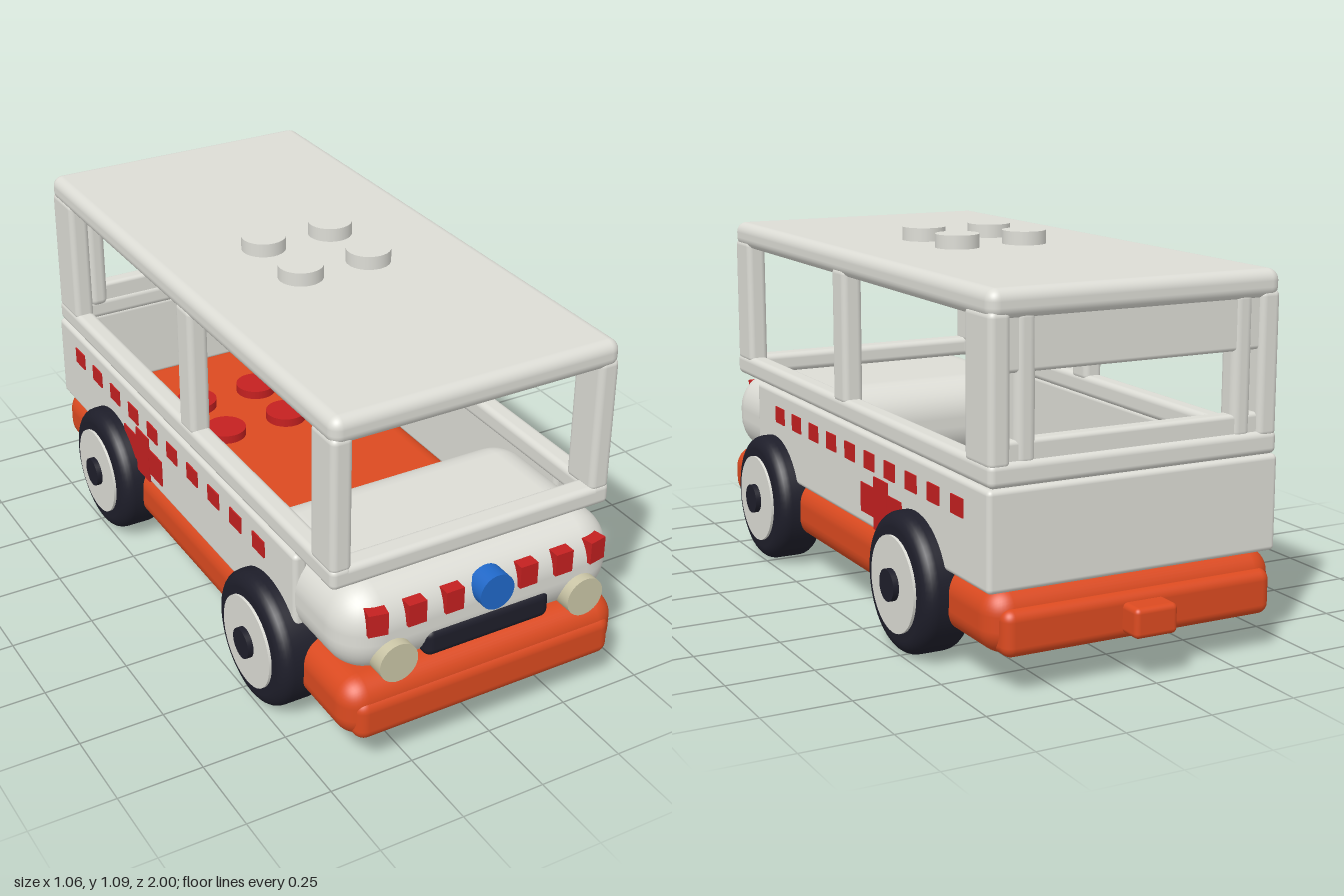
import * as THREE from 'three';
import { RoundedBoxGeometry } from 'three/addons/geometries/RoundedBoxGeometry.js';

const mat = (name, color) => {
  const m = new THREE.MeshStandardMaterial({ color });
  m.name = name;
  return m;
};

export function createModel() {
  const white = mat('white', 0xdcdcd5);
  const orange = mat('orange', 0xdb4a20);
  const black = mat('black', 0x1e1e2a);
  const red = mat('red', 0xc42020);
  const blue = mat('blue', 0x2068c8);
  const cream = mat('cream', 0xcac5a6);

  const model = new THREE.Group();
  model.name = 'rescueVan';

  const add = (name, geometry, material, x = 0, y = 0, z = 0, parent = model) => {
    const mesh = new THREE.Mesh(geometry, material);
    mesh.name = name;
    mesh.position.set(x, y, z);
    parent.add(mesh);
    return mesh;
  };
  // Box given by its extents; a radius rounds its edges
  const block = (name, material, [x0, x1], [y0, y1], [z0, z1], r = 0) => {
    const w = x1 - x0, h = y1 - y0, d = z1 - z0;
    const g = r ? new RoundedBoxGeometry(w, h, d, 5, r) : new THREE.BoxGeometry(w, h, d);
    return add(name, g, material, (x0 + x1) / 2, (y0 + y1) / 2, (z0 + z1) / 2);
  };
  // Pair of boxes mirrored in x
  const pair = (name, material, [x0, x1], ys, zs, r) => {
    block(name + 'Left', material, [x0, x1], ys, zs, r);
    block(name + 'Right', material, [-x1, -x0], ys, zs, r);
  };
  // Disc facing the front
  const disc = (name, material, x, y, z0, z1, r) => {
    const g = new THREE.CylinderGeometry(r, r, z1 - z0, 40).rotateX(Math.PI / 2);
    add(name, g, material, x, y, (z0 + z1) / 2);
  };

  // Chassis, bumpers and tow hitch
  block('chassis', orange, [-0.44, 0.44], [0.1, 0.28], [-0.912, 0.978], 0.07);
  block('frontBumper', orange, [-0.41, 0.41], [0.105, 0.232], [0.88, 0.987], 0.035);
  block('rearBumper', orange, [-0.41, 0.41], [0.105, 0.232], [-0.934, -0.83], 0.03);
  block('towHitch', orange, [-0.065, 0.065], [0.125, 0.208], [-1, -0.9], 0.015);

  // Lower body shell, open at the top, and the rounded nose
  pair('sideWall', white, [0.4, 0.442], [0.272, 0.542], [-0.9, 0.7], 0.014);
  block('rearWall', white, [-0.44, 0.44], [0.272, 0.542], [-0.9, -0.855], 0.014);
  block('nose', white, [-0.438, 0.438], [0.272, 0.542], [0.4, 0.967], 0.12);

  // Window frame: sill rails, pillars and tail frame
  pair('sideRail', white, [0.375, 0.438], [0.543, 0.608], [-0.9, 0.89], 0.018);
  block('frontRail', white, [-0.438, 0.438], [0.543, 0.605], [0.82, 0.89], 0.018);
  block('rearRail', white, [-0.438, 0.438], [0.543, 0.608], [-0.9, -0.83], 0.018);
  for (const [name, z0, z1] of [['frontPillar', 0.77, 0.888], ['middlePillar', 0, 0.088], ['rearPillar', -0.898, -0.755]]) {
    pair(name, white, [0.375, 0.437], [0.59, 0.99], [z0, z1], 0.018);
  }
  pair('tailPost', white, [0.297, 0.357], [0.59, 0.99], [-0.89, -0.82], 0.022);
  block('tailSill', white, [-0.4, 0.4], [0.59, 0.66], [-0.885, -0.835], 0.012);
  block('tailHeader', white, [-0.4, 0.4], [0.83, 0.99], [-0.885, -0.835], 0.012);

  // Roof
  block('roof', white, [-0.438, 0.438], [0.965, 1.045], [-0.9, 0.89], 0.032);

  // Studs on the roof and on the cabin floor
  const stud = new THREE.CylinderGeometry(0.065, 0.065, 0.05, 32);
  for (const x of [-0.11, 0.11]) {
    for (const z of [-0.08, 0.14]) add('roofStud', stud, white, x, 1.06, z);
    for (const z of [-0.57, -0.36]) add('floorStud', stud, red, x, 0.282, z);
  }

  // Front details: grille, lamps, badge disc and check blocks
  block('grille', black, [-0.198, 0.198], [0.298, 0.384], [0.88, 0.974], 0.025);
  disc('badgeDisc', blue, 0, 0.464, 0.94, 1, 0.053);
  for (const s of [-1, 1]) {
    disc('headlight', cream, s * 0.297, 0.342, 0.9, 0.996, 0.058);
    for (const x of [0.117, 0.232, 0.342]) {
      const check = block('frontCheck', red, [-0.0275, 0.0275], [0.43, 0.497], [0.925, 0.978]);
      check.position.x = s * x;
      if (x > 0.3) {
        check.rotation.y = s * 0.2;
        check.position.z -= 0.005;
      }
    }
  }

  // Side check stripe and plus-shaped marking
  for (let i = 0; i < 10; i++) {
    const z = 0.5 - i * 0.1367;
    pair('sideCheck', red, [0.438, 0.446], [0.442, 0.493], [z - 0.034, z + 0.034]);
  }
  pair('plusUpright', red, [0.438, 0.446], [0.277, 0.43], [-0.305, -0.215]);
  pair('plusBar', red, [0.438, 0.4455], [0.31, 0.396], [-0.395, -0.125]);

  // Wheels: rounded tyre, pale rim disc and dark axle cap
  const R = 0.197, W = 0.15, c = 0.04;
  const profile = [new THREE.Vector2(0, 0)];
  for (const [y, start] of [[c, -90], [W - c, 0]]) {
    for (let i = 0; i <= 6; i++) {
      const a = THREE.MathUtils.degToRad(start + i * 15);
      profile.push(new THREE.Vector2(R - c + c * Math.cos(a), y + c * Math.sin(a)));
    }
  }
  profile.push(new THREE.Vector2(0, W));
  const tyre = new THREE.LatheGeometry(profile, 48);
  const rim = new THREE.CylinderGeometry(0.135, 0.135, 0.03, 40);
  const cap = new THREE.CylinderGeometry(0.045, 0.045, 0.06, 32);
  for (const s of [-1, 1]) {
    for (const [name, z] of [['frontWheel', 0.55], ['rearWheel', -0.48]]) {
      const wheel = new THREE.Group();
      wheel.name = name;
      wheel.position.set(s * 0.355, R, z);
      wheel.rotation.z = -s * Math.PI / 2;
      add('tyre', tyre, black, 0, 0, 0, wheel);
      add('rim', rim, white, 0, 0.143, 0, wheel);
      add('axleCap', cap, black, 0, 0.145, 0, wheel);
      model.add(wheel);
    }
  }

  return model;
}
